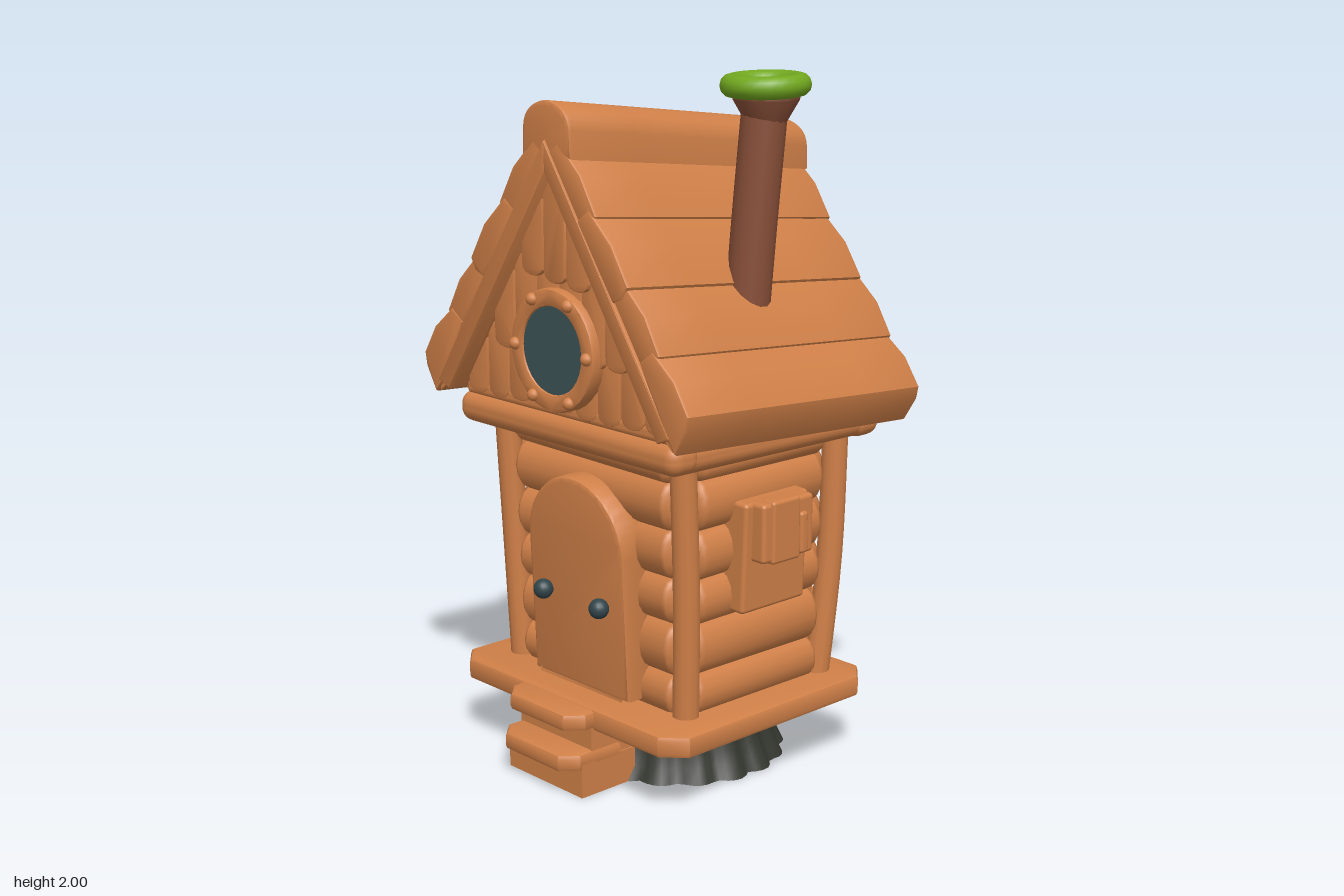
import * as THREE from 'three';
import { RoundedBoxGeometry } from 'three/addons/geometries/RoundedBoxGeometry.js';
import { toCreasedNormals } from 'three/addons/utils/BufferGeometryUtils.js';

const mat = (name, color, side = THREE.FrontSide) => {
  const m = new THREE.MeshStandardMaterial({ color, side });
  m.name = name;
  return m;
};

export function createModel() {
  const wood = mat('orange wood', 0xd08048);
  const bark = mat('brown bark', 0x8a5039, THREE.DoubleSide);
  const green = mat('green rim', 0x72a81f);
  const stumpMat = mat('dark stump', 0x363831);
  const glass = mat('slate glass', 0x3d5357);
  const iron = mat('dark iron', 0x31454a);

  const model = new THREE.Group();
  model.name = 'cabin';
  const add = (name, geo, m = wood, pos = [0, 0, 0], parent = model) => {
    const mesh = new THREE.Mesh(geo, m);
    mesh.name = name;
    mesh.position.set(...pos);
    parent.add(mesh);
    return mesh;
  };
  const rbox = (name, w, h, d, pos, r = 0.02, parent = model) =>
    add(name, new RoundedBoxGeometry(w, h, d, 3, r), wood, pos, parent);
  const poly = (pts) => new THREE.Shape(pts.map(([x, y]) => new THREE.Vector2(x, y)));
  const extrude = (shape, z0, z1, bevel = 0, steps = 1) => {
    const g = new THREE.ExtrudeGeometry(shape, {
      depth: z1 - z0 - 2 * bevel, steps, curveSegments: 16, bevelEnabled: bevel > 0,
      bevelSize: bevel, bevelOffset: -bevel, bevelThickness: bevel, bevelSegments: 2,
    });
    g.translate(0, 0, z0 + bevel);
    return toCreasedNormals(g, 0.6);
  };

  // Fluted, flared stump
  const stump = new THREE.CylinderGeometry(0.3, 0.35, 0.2, 96, 5);
  const sp = stump.attributes.position;
  for (let i = 0; i < sp.count; i++) {
    const x = sp.getX(i), y = sp.getY(i), z = sp.getZ(i);
    const t = 0.5 - y / 0.2;
    const f = (0.97 + 0.07 * Math.abs(Math.sin(Math.atan2(z, x) * 9))) * (1 - 0.05 * Math.sin(t * Math.PI));
    sp.setXYZ(i, x * f, y, z * f * 0.92);
  }
  stump.computeVertexNormals();
  add('stump', stump, stumpMat, [0, 0.1, -0.025]);

  // Platform with cut, rounded corners
  const deck = poly([[-0.48, -0.34], [-0.41, -0.4], [0.41, -0.4], [0.475, -0.34],
    [0.475, 0.34], [0.41, 0.41], [-0.41, 0.41], [-0.48, 0.34]]);
  const deckGeo = extrude(deck, 0, 0.065, 0.014);
  deckGeo.rotateX(-Math.PI / 2);
  add('platform', deckGeo, wood, [0, 0.187, 0]);

  // Steps: solid risers and rounded treads
  add('lowerRiser', new THREE.BoxGeometry(0.32, 0.1, 0.2), wood, [-0.01, 0.05, 0.345]);
  add('upperRiser', new THREE.BoxGeometry(0.31, 0.1, 0.16), wood, [-0.01, 0.15, 0.325]);
  const tread = poly([[-0.17, 0], [0.15, 0], [0.15, -0.15], [0.11, -0.2], [-0.12, -0.2], [-0.17, -0.15]]);
  for (const [y, z] of [[0.08, 0.3], [0.195, 0.28]]) {
    const g = extrude(tread, 0, 0.052, 0.014);
    g.rotateX(-Math.PI / 2);
    add('stepTread', g, wood, [0, y, z]);
  }

  // Log walls around a solid core
  add('wallCore', new THREE.BoxGeometry(0.66, 0.78, 0.52), wood, [0, 0.61, -0.03]);
  const levels = [0.24, 0.36, 0.51, 0.64, 0.78, 0.92, 1.0];
  const log = (name, len, h, pos, turn) => {
    const g = new THREE.CapsuleGeometry(0.5, 1, 4, 14);
    g.scale(0.11, 1, h);
    const p = g.attributes.position;
    for (let i = 0; i < p.count; i++) {
      const y = p.getY(i);
      p.setY(i, Math.sign(y) * (len / 2 - 0.03 + Math.max(Math.abs(y) - 0.5, 0) * 0.06));
    }
    g.computeVertexNormals();
    g.rotateZ(Math.PI / 2);
    g.rotateX(Math.PI / 2);
    const m = add(name, g, wood, pos);
    if (turn) m.rotation.y = Math.PI / 2;
    m.rotateZ(0.014 * Math.sin(pos[1] * 37));
  };
  for (let i = 0; i < 6; i++) {
    const y = (levels[i] + levels[i + 1]) / 2, h = levels[i + 1] - levels[i] + 0.012;
    const t = (y - 0.25) / 0.75;
    log('frontLog', 0.66, h, [0, y, 0.215 + 0.03 * t], false);
    log('backLog', 0.66, h, [0, y, -0.275 - 0.03 * t], false);
    for (const s of [-1, 1]) log('sideLog', 0.5, h, [s * (0.325 + 0.02 * t), y, -0.03], true);
  }
  log('outerLog', 0.46, 0.11, [-0.412, 0.86, -0.03], true);

  // Bowed corner posts
  for (const s of [-1, 1]) {
    for (const [zb, zm, zt] of [[0.238, 0.25, 0.27], [-0.29, -0.325, -0.335]]) {
      const c = new THREE.CatmullRomCurve3([
        new THREE.Vector3(s * 0.352, 0.22, zb), new THREE.Vector3(s * 0.366, 0.6, zm),
        new THREE.Vector3(s * 0.372, 1.0, zt)]);
      add('cornerPost', new THREE.TubeGeometry(c, 10, 0.038, 12));
    }
  }

  // Arched door in a raised frame, leaning forward slightly
  const arch = (hw, y0, y1, C = THREE.Shape) => {
    const s = new C();
    s.moveTo(-hw, y0);
    s.lineTo(hw, y0);
    s.lineTo(hw, y1 - hw);
    s.absarc(0, y1 - hw, hw, 0, Math.PI, false);
    s.lineTo(-hw, y0);
    return s;
  };
  const door = new THREE.Group();
  door.name = 'door';
  door.position.set(0.005, 0.27, 0.23);
  door.rotation.x = 0.05;
  model.add(door);
  const frame = arch(0.2, 0, 0.62);
  frame.holes.push(arch(0.165, 0.008, 0.58, THREE.Path));
  add('doorFrame', extrude(frame, 0, 0.092, 0.012), wood, [0, 0, 0], door);
  add('doorPanel', extrude(arch(0.161, 0.005, 0.576), 0, 0.078, 0.008), wood, [0, 0, 0], door);
  for (const x of [-0.12, 0.12]) add('doorKnob', new THREE.SphereGeometry(0.029, 16, 12), iron, [x, 0.27, 0.113], door);

  // Shuttered hatch on the left wall
  rbox('hatchBoard', 0.09, 0.32, 0.25, [0.39, 0.69, -0.028], 0.012).rotation.z = -0.04;
  rbox('hatchCover', 0.07, 0.17, 0.2, [0.447, 0.765, -0.03], 0.012);
  rbox('hatchSlat', 0.05, 0.18, 0.11, [0.465, 0.765, -0.015], 0.01);
  rbox('hatchPeg', 0.04, 0.12, 0.03, [0.472, 0.745, -0.085], 0.01);

  // Beam ring under the roof
  add('ceiling', new THREE.BoxGeometry(0.82, 0.07, 0.74), wood, [0, 1.01, -0.025]);
  rbox('frontBeam', 0.92, 0.092, 0.11, [0, 1.02, 0.333], 0.04);
  rbox('backBeam', 0.92, 0.092, 0.11, [0, 1.005, -0.383], 0.04);
  for (const s of [-1, 1]) rbox('sideBeam', 0.11, 0.09, 0.8, [s * 0.4, 1.012, -0.025], 0.04).rotation.x = -0.015;
  rbox('atticFloor', 0.88, 0.05, 0.77, [0, 1.068, -0.015], 0.02).rotation.x = -0.03;

  // Roof parts are sheared so that the ridge drops towards the back
  const roof = new THREE.Group();
  roof.name = 'roof';
  model.add(roof);
  const slope = (g) => {
    const p = g.attributes.position;
    for (let i = 0; i < p.count; i++) {
      const y = p.getY(i), z = p.getZ(i);
      p.setY(i, y + (z - 0.43) * (0.06 + 0.055 * (y - 1.06) / 0.8));
    }
    g.computeVertexNormals();
    return toCreasedNormals(g, 0.6);
  };
  const roofPart = (name, shape, z0, z1, bevel = 0) => add(name, slope(extrude(shape, z0, z1, bevel, 4)), wood, [0, 0, 0], roof);

  roofPart('attic', poly([[-0.46, 1.07], [0.46, 1.07], [0, 1.77]]), -0.42, 0.35);
  const planks = [[0.05, 1.83, 0.2, 1.645], [0.175, 1.66, 0.328, 1.475],
    [0.305, 1.485, 0.443, 1.31], [0.42, 1.32, 0.555, 1.17]];
  for (const s of [-1, 1]) {
    const m = (pts) => poly(pts.map(([x, y]) => [s * x, y]));
    roofPart('roofSlab', m([[0, 1.86], [0.08, 1.77], [0.51, 1.17], [0.49, 1.065], [0.455, 1.095], [0, 1.765]]), -0.48, 0.42);
    planks.forEach(([x0, y0, x1, y1], i) => {
      const end = i === 3 ? [[x1 - 0.008, 1.13], [0.505, 1.06], [0.47, 1.1]] : [[x1 - 0.02, y1 - 0.035], [x1 - 0.06, y1 - 0.05]];
      roofPart('roofPlank', m([[x0, y0], [(x0 + x1) / 2 + 0.014, (y0 + y1) / 2 + 0.01], [x1, y1], ...end, [x0 - 0.05, y0 - 0.035]]),
        -0.488 + 0.004 * (i % 2), 0.426 + 0.004 * (i % 2), 0.01);
    });
    // Trim along the gable edges, front and back
    const trim = m([[0, 1.83], [0.49, 1.1], [0.44, 1.08], [0, 1.745]]);
    roofPart('gableTrim', trim, 0.36, 0.432, 0.006);
    roofPart('gableTrim', trim, -0.49, -0.41, 0.006);
  }
  const cap = new THREE.Shape();
  cap.moveTo(-0.1, 1.785);
  cap.lineTo(0.1, 1.785);
  cap.lineTo(0.097, 1.86);
  cap.bezierCurveTo(0.09, 1.96, -0.09, 1.96, -0.097, 1.86);
  roofPart('ridgeCap', cap, -0.497, 0.425, 0.012);

  // Round-ended gable shingles, trimmed to the roof line
  const roofY = (x) => 1.775 - Math.abs(x) * 1.48;
  const shingle = (x, w, y0, y1, z0, z1) => {
    const a = x - w / 2 + 0.003, b = x + w / 2 - 0.003;
    const ya = Math.min(y1, roofY(a)), yb = Math.min(y1, roofY(b));
    if (Math.min(ya, yb) < y0 + 0.035) return;
    const s = new THREE.Shape();
    s.moveTo(a, ya);
    s.lineTo(a, y0 + 0.03);
    s.bezierCurveTo(a, y0 - 0.008, b, y0 - 0.008, b, y0 + 0.03);
    s.lineTo(b, yb);
    if (a < 0 && b > 0) s.lineTo(0, Math.min(y1, roofY(0)));
    roofPart('shingle', s, z0, z1, 0.004);
  };
  for (let i = -4; i <= 4; i++) {
    const x = i * 0.094, j = 0.012 * Math.sin(i * 5);
    shingle(x, 0.094, 1.075 + j * 0.4, 1.3, 0.34, 0.372);
    shingle(x + 0.047, 0.094, 1.235 + j, 1.52, 0.34, 0.385);
    shingle(x, 0.094, 1.44 + j, 1.8, 0.34, 0.398);
    shingle(x, 0.094, 1.1 + j, 1.6, -0.44, -0.41);
    if (Math.abs(i) < 2) shingle(x + 0.03, 0.094, 1.52 + j, 1.8, -0.452, -0.41);
  }

  // Round attic window with studs
  const win = new THREE.Group();
  win.name = 'roundWindow';
  win.position.set(0, 1.255, 0.36);
  model.add(win);
  const ring = new THREE.Shape().absarc(0, 0, 0.172, 0, Math.PI * 2);
  ring.holes.push(new THREE.Path().absarc(0, 0, 0.122, 0, Math.PI * 2));
  add('windowFrame', extrude(ring, 0, 0.055, 0.01), wood, [0, 0, 0], win);
  const pane = add('windowGlass', new THREE.CylinderGeometry(0.125, 0.125, 0.009, 40), glass, [0, 0, 0.043], win);
  pane.rotation.x = Math.PI / 2;
  for (let i = 0; i < 6; i++) {
    const a = i * Math.PI / 3;
    add('windowStud', new THREE.SphereGeometry(0.018, 12, 8), wood, [0.15 * Math.cos(a), 0.155 * Math.sin(a), 0.055], win);
  }

  // Leaning chimney with flared mouth and green rim
  const stack = new THREE.CatmullRomCurve3([new THREE.Vector3(0.318, 1.33, -0.02),
    new THREE.Vector3(0.335, 1.6, -0.03), new THREE.Vector3(0.357, 1.91, -0.043)]);
  const stackGeo = new THREE.TubeGeometry(stack, 10, 0.063, 14);
  add('chimney', stackGeo, bark);
  const mouth = [[0.055, 1.87], [0.09, 1.93], [0.092, 1.95], [0.065, 1.965], [0.035, 1.955], [0.023, 1.93], [0.023, 1.87]];
  add('chimneyMouth', new THREE.LatheGeometry(mouth.map(([x, y]) => new THREE.Vector2(x, y)), 16), bark, [0.36, 0, -0.045]);
  add('chimneyCore', new THREE.CylinderGeometry(0.03, 0.03, 0.02, 12), wood, [0.36, 1.88, -0.045]);
  const rim = new THREE.TorusGeometry(0.093, 0.031, 12, 28);
  rim.rotateX(Math.PI / 2);
  add('chimneyRim', rim, green, [0.357, 1.969, -0.045]).rotation.x = 0.03;

  return model;
}
